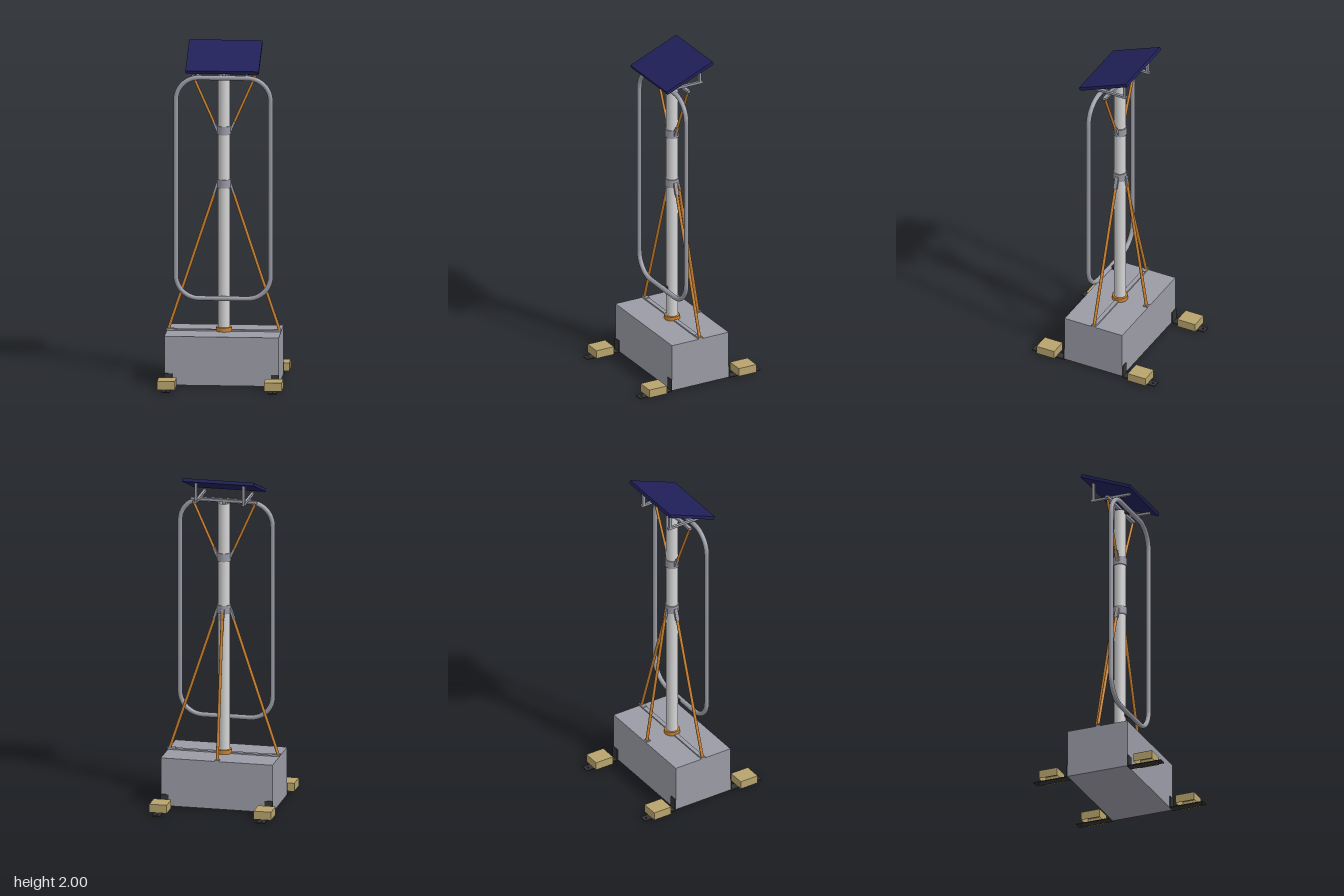
import * as THREE from 'three';

const mat = (name, color, side = THREE.FrontSide) => {
  const m = new THREE.MeshStandardMaterial({ color, side });
  m.name = name;
  return m;
};

export function createModel() {
  const grey = mat('steelGrey', 0x9b9ba6);
  const pale = mat('paleMetal', 0xd4d4d4);
  const orange = mat('orangeRod', 0xcc8330);
  const navy = mat('navyPanel', 0x20205a);
  const tan = mat('tanBlock', 0xb8a46c, THREE.DoubleSide);
  const dark = mat('darkBracket', 0x343434);

  const model = new THREE.Group();
  model.name = 'solarMast';
  const V = (x, y, z) => new THREE.Vector3(x, y, z);
  const add = (name, geo, material, x = 0, y = 0, z = 0) => {
    const m = new THREE.Mesh(geo, material);
    m.name = name;
    m.position.set(x, y, z);
    model.add(m);
    return m;
  };
  const box = (name, w, h, d, material, x, y, z) =>
    add(name, new THREE.BoxGeometry(w, h, d), material, x, y, z);
  // Stretch a geometry's y axis between two points
  const between = (name, a, b, geo, material) => {
    const mid = a.clone().add(b).multiplyScalar(0.5);
    const m = add(name, geo, material, mid.x, mid.y, mid.z);
    m.quaternion.setFromUnitVectors(V(0, 1, 0), b.clone().sub(a).normalize());
    return m;
  };
  const rod = (name, a, b, r, material) =>
    between(name, a, b, new THREE.CylinderGeometry(r, r, a.distanceTo(b), 16), material);
  const lug = (name, a, b, w, d) =>
    between(name, a, b, new THREE.BoxGeometry(w, a.distanceTo(b), d), grey);
  const ringTube = (r0, r1, y0, y1) => new THREE.LatheGeometry(
    [[r0, y0], [r1, y0], [r1, y0], [r1, y1], [r1, y1], [r0, y1], [r0, y1], [r0, y0]]
      .map(p => new THREE.Vector2(...p)), 32);

  // Base box and the rail across its top
  box('baseBox', 0.67, 0.29, 0.38, grey, 0, 0.15, 0);
  box('topRail', 0.67, 0.008, 0.026, grey, 0, 0.299, 0);
  box('backRodPlate', 0.026, 0.006, 0.032, grey, 0, 0.298, -0.174);

  // Foot brackets with bolt holes, and hollow ballast blocks
  const strip = new THREE.Shape();
  strip.moveTo(-0.024, 0.19).lineTo(0.024, 0.19).lineTo(0.024, 0.405).lineTo(-0.024, 0.405).closePath();
  const hole = new THREE.Path();
  hole.absarc(0, 0.383, 0.006, 0, Math.PI * 2, true);
  strip.holes.push(hole);
  const footGeo = new THREE.ExtrudeGeometry(strip, { depth: 0.006, bevelEnabled: false, curveSegments: 12 });
  footGeo.rotateX(Math.PI / 2).translate(0, 0.006, 0);
  const blockGeo = new THREE.BoxGeometry(0.105, 0.05, 0.117);
  const idx = Array.from(blockGeo.index.array);
  idx.splice(18, 6); // open underside
  blockGeo.setIndex(idx);
  blockGeo.clearGroups();
  for (const sx of [-1, 1]) for (const sz of [-1, 1]) {
    const x = sx * 0.313;
    const foot = add('footBracket', footGeo, dark, x, 0, 0);
    if (sz < 0) foot.rotation.y = Math.PI;
    box('footFlange', 0.048, 0.07, 0.006, dark, x, 0.04, sz * 0.193);
    add('ballastBlock', blockGeo, tan, x, 0.035, sz * 0.301);
  }

  // Mast: open pipe with base collar and two clamps
  add('mast', ringTube(0.027, 0.034, 0.295, 1.82), pale);
  add('baseCollar', ringTube(0.034, 0.046, 0.295, 0.32), orange);
  add('lowerClamp', ringTube(0.033, 0.04, 1.15, 1.2), grey);
  add('upperClamp', ringTube(0.033, 0.04, 1.468, 1.518), grey);

  // Side braces, mirrored
  for (const s of [-1, 1]) {
    const foot = V(s * 0.326, 0.302, 0), top = V(s * 0.042, 1.16, 0);
    rod('lowerBrace', foot, top, 0.009, orange);
    lug('lowerLug', V(s * 0.06, 1.112, 0), V(s * 0.037, 1.18, 0), 0.014, 0.022);
    box('bracePlate', 0.048, 0.006, 0.028, grey, s * 0.316, 0.304, 0);
    rod('upperBrace', V(s * 0.045, 1.505, 0), V(s * 0.185, 1.82, 0), 0.008, orange);
    lug('upperLug', V(s * 0.037, 1.485, 0), V(s * 0.062, 1.545, 0), 0.014, 0.02);
  }
  rod('backBrace', V(0, 0.302, -0.174), V(0, 1.16, -0.042), 0.009, orange);
  lug('backLug', V(0, 1.112, -0.05), V(0, 1.18, -0.038), 0.022, 0.012);

  // Rounded loop in front of the mast
  const X = 0.278, y0 = 0.5, y1 = 1.815, R = 0.135, z = 0.062;
  const pts = [];
  const corners = [[X - R, y1 - R, 0], [R - X, y1 - R, 1], [R - X, y0 + R, 2], [X - R, y0 + R, 3]];
  for (const [cx, cy, q] of corners) for (let i = 0; i <= 10; i++) {
    const a = (q + i / 10) * Math.PI / 2;
    pts.push(V(cx + R * Math.cos(a), cy + R * Math.sin(a), z));
  }
  const path = new THREE.CurvePath();
  pts.forEach((p, i) => path.add(new THREE.LineCurve3(p, pts[(i + 1) % pts.length])));
  add('loopTube', new THREE.TubeGeometry(path, 240, 0.0145, 16, true), grey);
  for (const y of [y0, y1 - 0.005])
    box('loopMount', 0.022, 0.02, 0.025, dark, 0, y, 0.043);

  // Panel frame: crossbar, arms and rear posts
  rod('mastPin', V(0, 1.8, 0), V(0, 1.84, 0), 0.01, grey);
  box('crossbar', 0.4, 0.016, 0.02, grey, 0, 1.834, 0);
  for (const s of [-1, 1]) {
    box('panelArm', 0.016, 0.014, 0.25, grey, s * 0.143, 1.849, 0.003);
    box('panelPost', 0.016, 0.118, 0.016, grey, s * 0.143, 1.905, -0.106);
  }

  // Tilted panel
  const panel = box('solarPanel', 0.43, 0.02, 0.334, navy, 0, 1.928, 0);
  panel.rotation.x = THREE.MathUtils.degToRad(22);

  return model;
}
